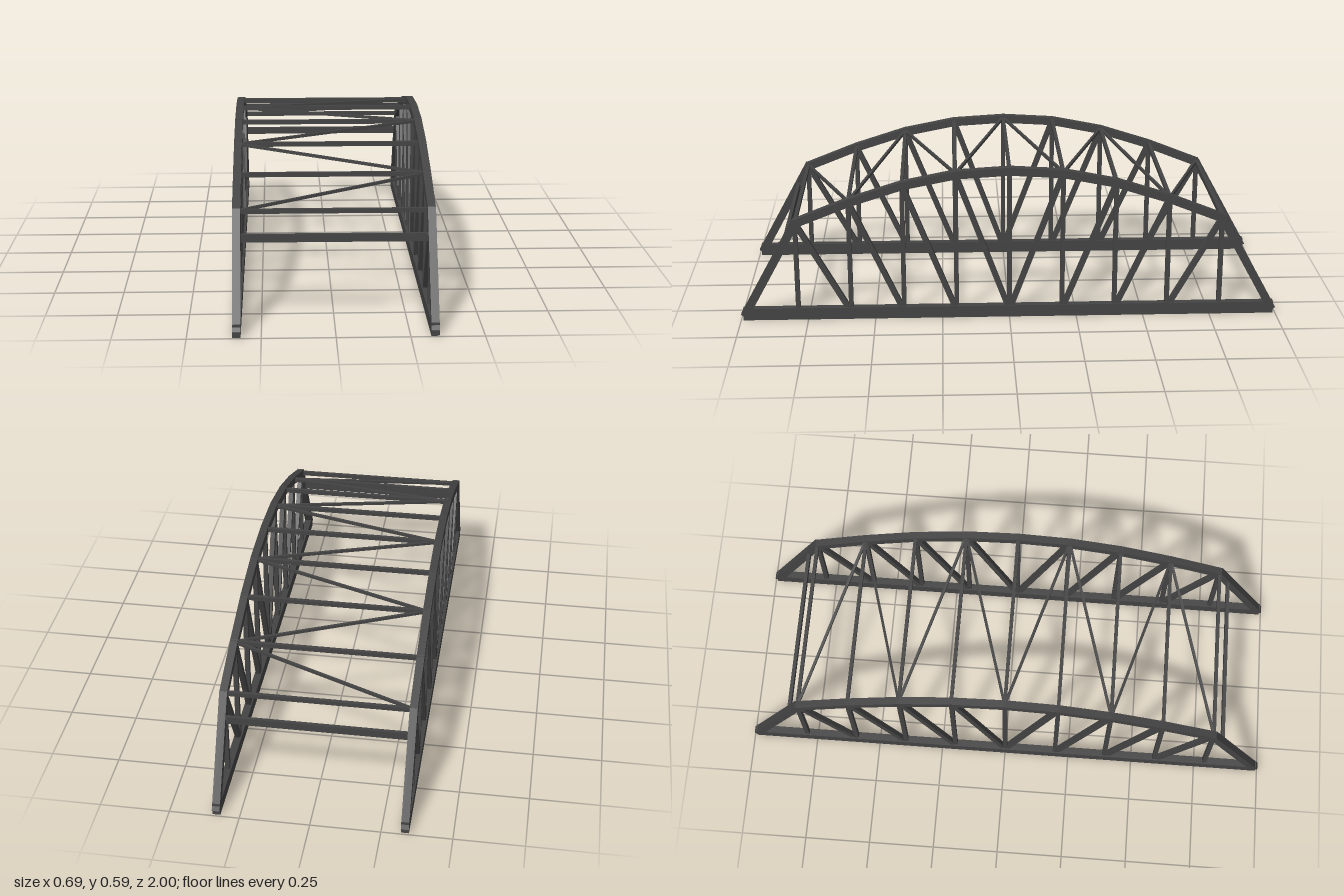
import * as THREE from 'three';

// Truss nodes from the centre outwards: z position and top chord height
const NODES = [[0, 0.571], [0.197, 0.559], [0.393, 0.52], [0.59, 0.457], [0.787, 0.379]];
const SIDE_X = 0.333;
const BASE_Y = 0.0225;
const END_Z = 0.983;

export function createModel() {
  const steel = new THREE.MeshStandardMaterial({ color: 0x444444 });
  steel.name = 'darkSteel';
  const model = new THREE.Group();
  model.name = 'trussBridge';

  // Square beam from a to b; "extra" lengthens both ends
  function beam(parent, name, a, b, width, height, extra = 0) {
    const from = new THREE.Vector3(...a);
    const to = new THREE.Vector3(...b);
    const mesh = new THREE.Mesh(
      new THREE.BoxGeometry(width, height, from.distanceTo(to) + 2 * extra), steel);
    mesh.name = name;
    mesh.position.copy(from).add(to).multiplyScalar(0.5);
    mesh.lookAt(to);
    parent.add(mesh);
  }

  // Side trusses
  for (const side of [1, -1]) {
    const x = side * SIDE_X;
    const truss = new THREE.Group();
    truss.name = side > 0 ? 'leftTruss' : 'rightTruss';
    model.add(truss);

    beam(truss, 'bottomChord', [x, BASE_Y, -END_Z], [x, BASE_Y, END_Z], 0.028, 0.045, 0.009);
    beam(truss, 'centreVertical', [x, BASE_Y, 0], [x, NODES[0][1], 0], 0.017, 0.017);

    for (const end of [1, -1]) {
      for (let i = 1; i < NODES.length; i++) {
        const [z, y] = NODES[i];
        const [zIn, yIn] = NODES[i - 1];
        beam(truss, 'topChord', [x, yIn, end * zIn], [x, y, end * z], 0.028, 0.03, 0.005);
        beam(truss, 'vertical', [x, BASE_Y, end * z], [x, y, end * z], 0.017, 0.017);
        beam(truss, 'diagonal', [x, y, end * z], [x, BASE_Y, end * zIn], 0.018, 0.02);
      }
      const [z, y] = NODES[NODES.length - 1];
      beam(truss, 'endPost', [x, y, end * z], [x, BASE_Y, end * END_Z], 0.028, 0.03, 0.009);
    }
  }

  // Cross struts between the top chords, and zigzag wind bracing
  const bracing = new THREE.Group();
  bracing.name = 'topBracing';
  model.add(bracing);
  const line = [
    ...NODES.slice(1).reverse(),
    ...NODES.map(([z, y]) => [-z, y]),
  ];
  line.forEach(([z, y], i) => {
    beam(bracing, 'crossStrut', [-SIDE_X, y + 0.002, z], [SIDE_X, y + 0.002, z], 0.013, 0.016);
    if (i === 0) return;
    const [zPrev, yPrev] = line[i - 1];
    const s = i % 2 ? -1 : 1;
    beam(bracing, 'windBrace', [s * SIDE_X, yPrev + 0.003, zPrev], [-s * SIDE_X, y + 0.003, z], 0.01, 0.01);
  });

  // Portal beams between the end posts
  for (const end of [1, -1]) {
    beam(model, 'portalBeam', [-SIDE_X, 0.298, end * 0.829], [SIDE_X, 0.298, end * 0.829], 0.013, 0.028);
  }
  return model;
}
